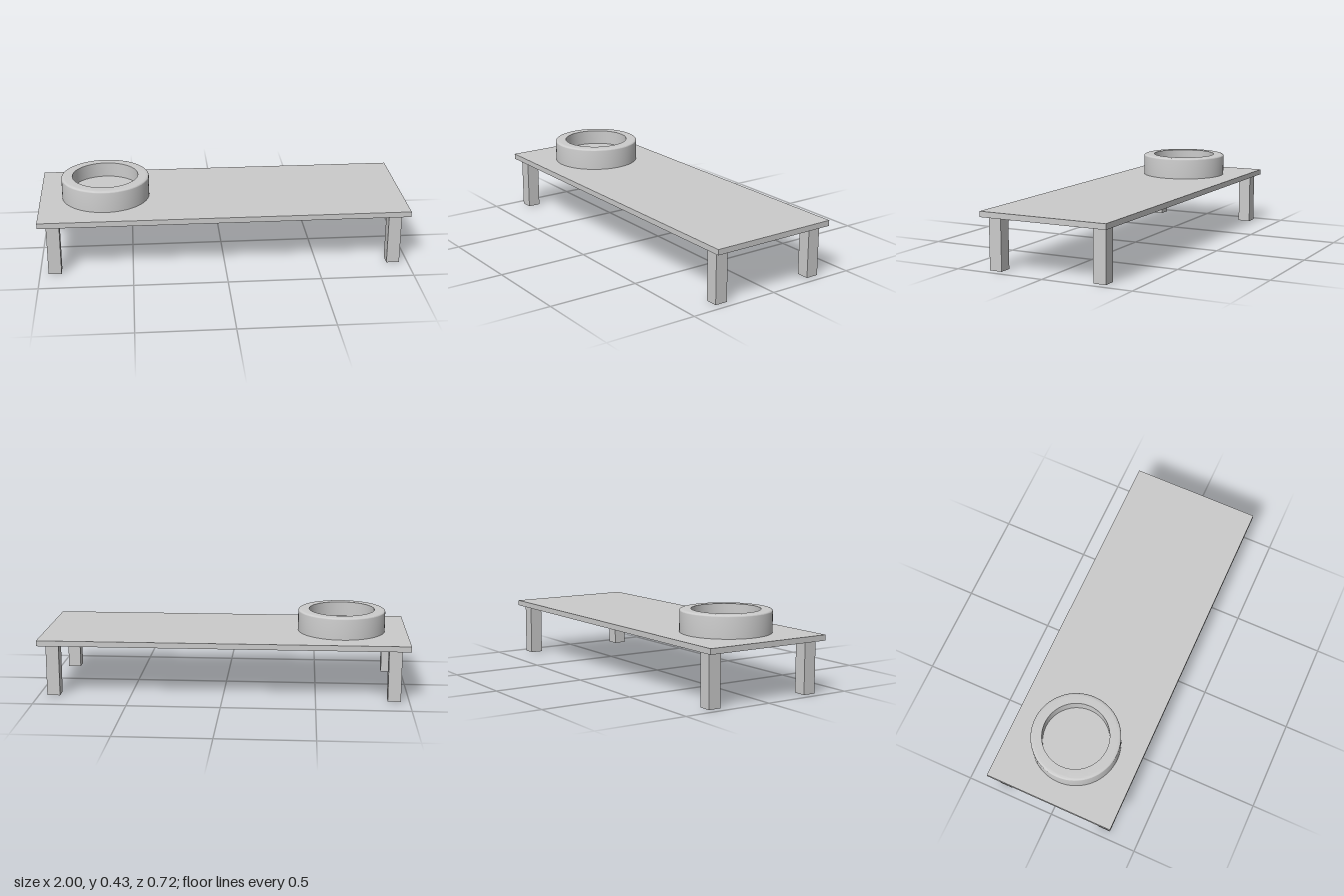
import * as THREE from 'three';
import { toCreasedNormals } from 'three/addons/utils/BufferGeometryUtils.js';

export function createModel() {
  const group = new THREE.Group();
  const material = new THREE.MeshStandardMaterial({ color: 0xcccccc });

  function add(name, geometry, x, y, z) {
    const mesh = new THREE.Mesh(geometry, material);
    mesh.name = name;
    mesh.position.set(x, y, z);
    group.add(mesh);
  }

  const legHeight = 0.28;
  const topThickness = 0.03;

  // Flat rectangular board
  add('tableTop', new THREE.BoxGeometry(2, topThickness, 0.72), 0, legHeight + topThickness / 2, 0);

  // Four square legs set in from the corners
  const legGeometry = new THREE.BoxGeometry(0.07, legHeight, 0.07);
  for (const [side, sx] of [['Left', 1], ['Right', -1]]) {
    for (const [end, sz] of [['front', 1], ['back', -1]]) {
      add(`${end}${side}Leg`, legGeometry, sx * 0.92, legHeight / 2, sz * 0.3);
    }
  }

  // Round bowl: straight wall, softened rim, shallow floor inside
  const profile = new THREE.Path();
  profile.moveTo(0, 0);
  profile.lineTo(0.24, 0);
  profile.lineTo(0.24, 0.11);
  profile.quadraticCurveTo(0.24, 0.12, 0.22, 0.12);
  profile.lineTo(0.18, 0.12);
  profile.lineTo(0.18, 0.04);
  profile.lineTo(0, 0.04);
  const bowl = new THREE.LatheGeometry(profile.getPoints(6), 64);
  add('bowl', toCreasedNormals(bowl, Math.PI / 5), -0.64, legHeight + topThickness, 0);

  return group;
}
